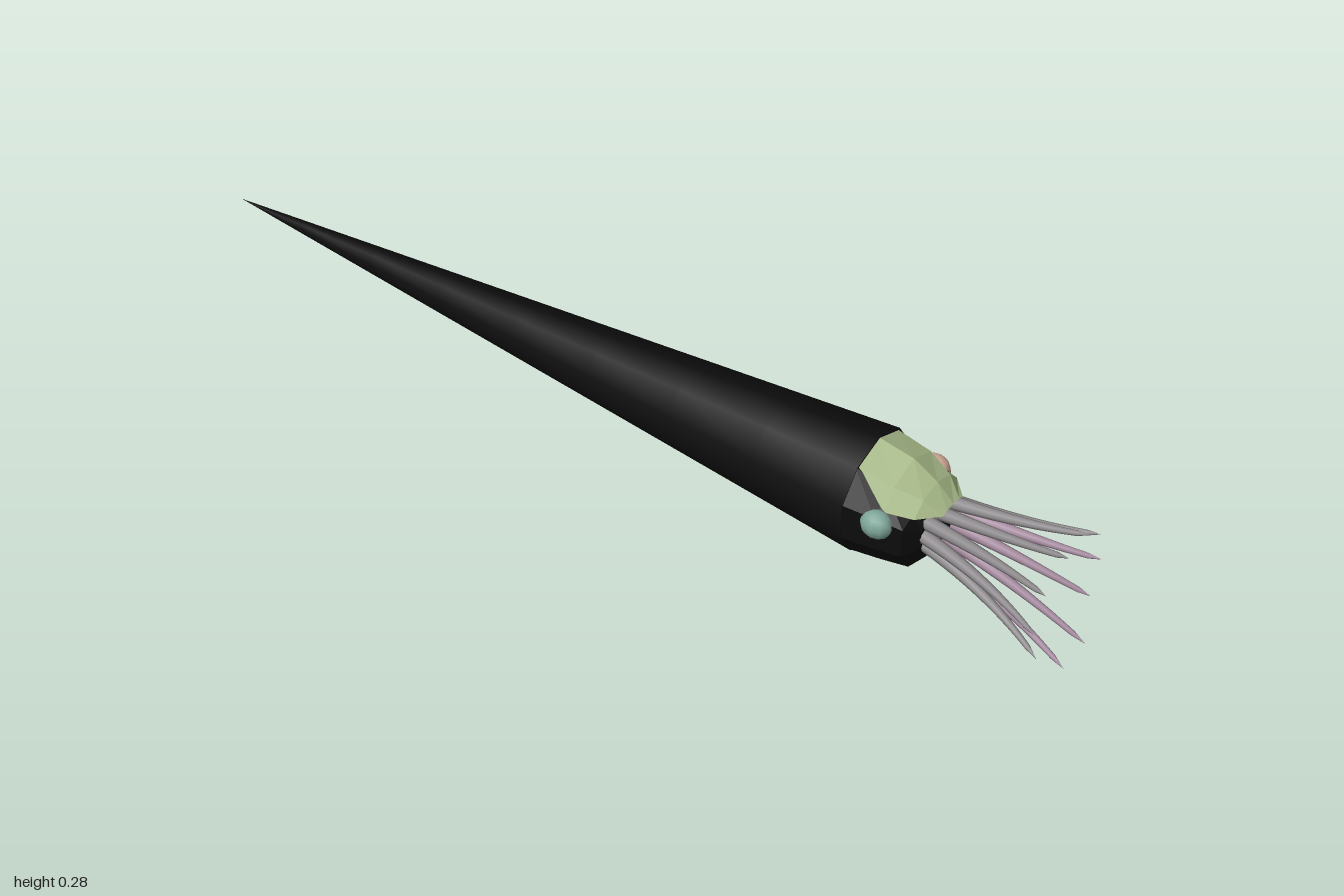
import * as THREE from 'three';

// Skin between rings of [x, y, z] points, each ring running clockwise seen from the front
function loft(rings) {
  const n = rings[0].length, index = [];
  for (let i = 0; i < rings.length - 1; i++) {
    for (let j = 0; j < n - 1; j++) {
      const a = i * n + j, b = a + 1, c = a + n, d = c + 1;
      index.push(a, c, b, b, c, d);
    }
  }
  const geo = new THREE.BufferGeometry();
  geo.setAttribute('position', new THREE.Float32BufferAttribute(rings.flat(2), 3));
  geo.setIndex(index);
  const flat = geo.toNonIndexed();
  flat.computeVertexNormals();
  return flat;
}

// Curved tube that thins towards a blunt tip
function taperedArm(curve, r0, r1) {
  const segs = 12, sides = 8;
  const geo = new THREE.TubeGeometry(curve, segs, r0, sides);
  const pos = geo.attributes.position, v = new THREE.Vector3();
  for (let i = 0; i <= segs; i++) {
    const p = curve.getPointAt(i / segs);
    const k = i === segs ? 0 : 1 + (r1 / r0 - 1) * (i / (segs - 1));
    for (let j = 0; j <= sides; j++) {
      const id = i * (sides + 1) + j;
      v.fromBufferAttribute(pos, id).sub(p).multiplyScalar(k).add(p);
      pos.setXYZ(id, v.x, v.y, v.z);
    }
  }
  return geo;
}

export function createModel() {
  const group = new THREE.Group();
  const mat = (name, color) => {
    const m = new THREE.MeshStandardMaterial({ color });
    m.name = name;
    return m;
  };
  const black = mat('shell black', 0x0c0c0c);
  const green = mat('hood green', 0xa6b887);
  const grey = mat('arm grey', 0x8c888b);
  const mauve = mat('arm mauve', 0xa68ba0);
  const teal = mat('right eye teal', 0x7fa699);
  const peach = mat('left eye peach', 0xcca594);
  green.side = THREE.DoubleSide;

  const add = (name, geo, material) => {
    const mesh = new THREE.Mesh(geo, material);
    mesh.name = name;
    group.add(mesh);
    return mesh;
  };

  // Long straight conical shell
  const shell = new THREE.CylinderGeometry(0, 0.118, 1.58, 10, 8);
  shell.rotateX(-Math.PI / 2);
  add('shell', shell, black).position.set(0, 0.167, -0.21);

  // Ten-sided head, flattened on top where the hood sits
  const headRings = [
    // z, radius, centre y, highest y
    [0.575, 0.117, 0.167, 0.28],
    [0.64, 0.107, 0.165, 0.23],
    [0.69, 0.095, 0.16, 0.206],
    [0.71, 0.062, 0.155, 0.2],
    [0.71, 0, 0.155, 0.2],
  ].map(([z, r, cy, top]) => Array.from({ length: 11 }, (_, j) => {
    const a = (j / 10) * Math.PI * 2;
    return [r * Math.sin(a), Math.min(top, cy + r * Math.cos(a)), z];
  }));
  add('head', loft(headRings), black);

  // Hood over the top of the head
  const hoodRings = [
    // z, ridge y, shoulder x and y, edge x
    [0.578, 0.284, 0.066, 0.26, 0.09],
    [0.65, 0.272, 0.062, 0.248, 0.086],
    [0.7, 0.245, 0.045, 0.232, 0.072],
    [0.735, 0.214, 0.02, 0.212, 0.033],
  ].map(([z, ridge, sx, sy, ex]) => [
    [-ex, 0.207, z], [-sx, sy, z], [0, ridge, z], [sx, sy, z], [ex, 0.207, z],
  ]);
  add('hood', loft(hoodRings), green);

  // Eyes
  for (const side of [-1, 1]) {
    const eye = add(side > 0 ? 'leftEye' : 'rightEye',
      new THREE.SphereGeometry(1, 10, 8), side > 0 ? peach : teal);
    eye.scale.set(0.025, 0.027, 0.031);
    eye.position.set(side * 0.097, 0.185, 0.642);
  }

  // Mouth between the arm roots
  const mouth = new THREE.CylinderGeometry(0.038, 0.038, 0.02, 8);
  mouth.rotateX(Math.PI / 2);
  add('mouth', mouth, black).position.set(0, 0.16, 0.71);

  // Five pairs of arms flaring outwards from a ring
  const arms = [
    // root x, y, tip x, y, z, left colour, right colour
    [0.017, 0.195, 0.037, 0.243, 0.975, grey, grey],
    [0.036, 0.182, 0.098, 0.2, 0.97, grey, grey],
    [0.044, 0.16, 0.12, 0.127, 0.97, mauve, grey],
    [0.037, 0.138, 0.098, 0.057, 0.97, mauve, grey],
    [0.016, 0.125, 0.039, 0.004, 0.998, mauve, mauve],
  ];
  arms.forEach(([x, y, tx, ty, tz, leftMat, rightMat], i) => {
    for (const side of [-1, 1]) {
      const curve = new THREE.QuadraticBezierCurve3(
        new THREE.Vector3(side * x, y, 0.69),
        new THREE.Vector3(side * (x + (tx - x) * 0.3), y + (ty - y) * 0.32, 0.85),
        new THREE.Vector3(side * tx, ty, tz));
      add((side > 0 ? 'leftArm' : 'rightArm') + (i + 1),
        taperedArm(curve, 0.0145, 0.005), side > 0 ? leftMat : rightMat);
    }
  });

  return group;
}
